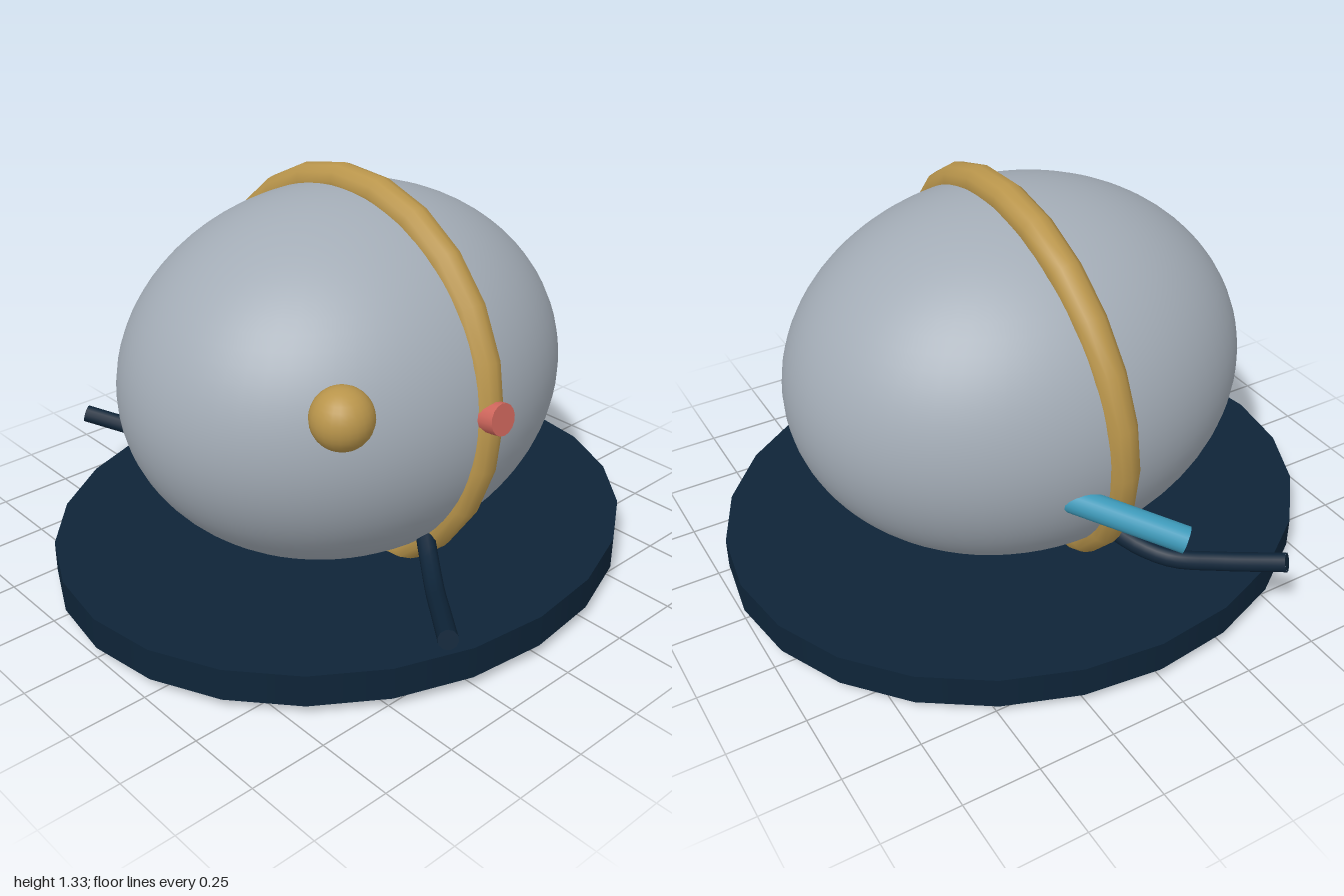
import * as THREE from 'three';

const mat = (name, color) => {
  const m = new THREE.MeshStandardMaterial({ color });
  m.name = name;
  return m;
};

export function createModel() {
  const grey = mat('pale grey', 0xa3acb6);
  const gold = mat('brass', 0xb9954b);
  const navy = mat('navy', 0x0e2438);
  const teal = mat('teal', 0x3d9aba);
  const red = mat('coral red', 0xcf665c);

  const group = new THREE.Group();
  const add = (name, geometry, material, x = 0, y = 0, z = 0) => {
    const mesh = new THREE.Mesh(geometry, material);
    mesh.name = name;
    mesh.position.set(x, y, z);
    group.add(mesh);
    return mesh;
  };
  // Capped cylinder between two points
  const rod = (name, a, b, radius, sides, material) => {
    const dir = b.clone().sub(a);
    const mesh = add(name, new THREE.CylinderGeometry(radius, radius, dir.length(), sides), material);
    mesh.position.copy(a).add(b).multiplyScalar(0.5);
    mesh.quaternion.setFromUnitVectors(new THREE.Vector3(0, 1, 0), dir.normalize());
  };
  const v = (x, y, z) => new THREE.Vector3(x, y, z);

  // Egg-shaped hull
  add('hull', new THREE.SphereGeometry(1, 64, 40).scale(0.645, 0.6, 0.765), grey, 0, 0.67, 0);

  // Oval base disc
  add('base', new THREE.CylinderGeometry(1, 1, 0.105, 24).scale(0.887, 1, 1), navy, 0, 0.0925, 0);

  // Leaning band around the hull
  const band = new THREE.TorusGeometry(0.612, 0.055, 12, 24).rotateZ(0.08).scale(1.02, 1, 1);
  add('band', band, gold, 0, 0.667, 0).rotation.x = -0.08;

  // Round lamp on the left of the front
  add('lamp', new THREE.SphereGeometry(0.093, 24, 16), gold, 0.54, 0.85, 0.49);

  // Button on the band
  rod('button', v(0.64, 0.725, 0), v(0.695, 0.734, 0), 0.05, 16, red);

  // Spout on the right side
  rod('spout', v(-0.57, 0.56, -0.17), v(-0.825, 0.458, 0.105), 0.042, 16, teal);

  // Mirrored curved arms
  for (const s of [1, -1]) {
    const path = new THREE.CatmullRomCurve3([
      v(0.46 * s, 0.275, 0.07), v(0.55 * s, 0.226, 0.135), v(0.64 * s, 0.208, 0.205),
      v(0.76 * s, 0.24, 0.305), v(0.912 * s, 0.292, 0.435),
    ]);
    const name = s > 0 ? 'leftArm' : 'rightArm';
    add(name, new THREE.TubeGeometry(path, 16, 0.03, 10), navy);
    // Flat cap on the outer end
    const cap = add(name + 'Cap', new THREE.CircleGeometry(0.03, 10), navy);
    cap.position.copy(path.getPoint(1));
    cap.quaternion.setFromUnitVectors(v(0, 0, 1), path.getTangent(1));
  }

  return group;
}
